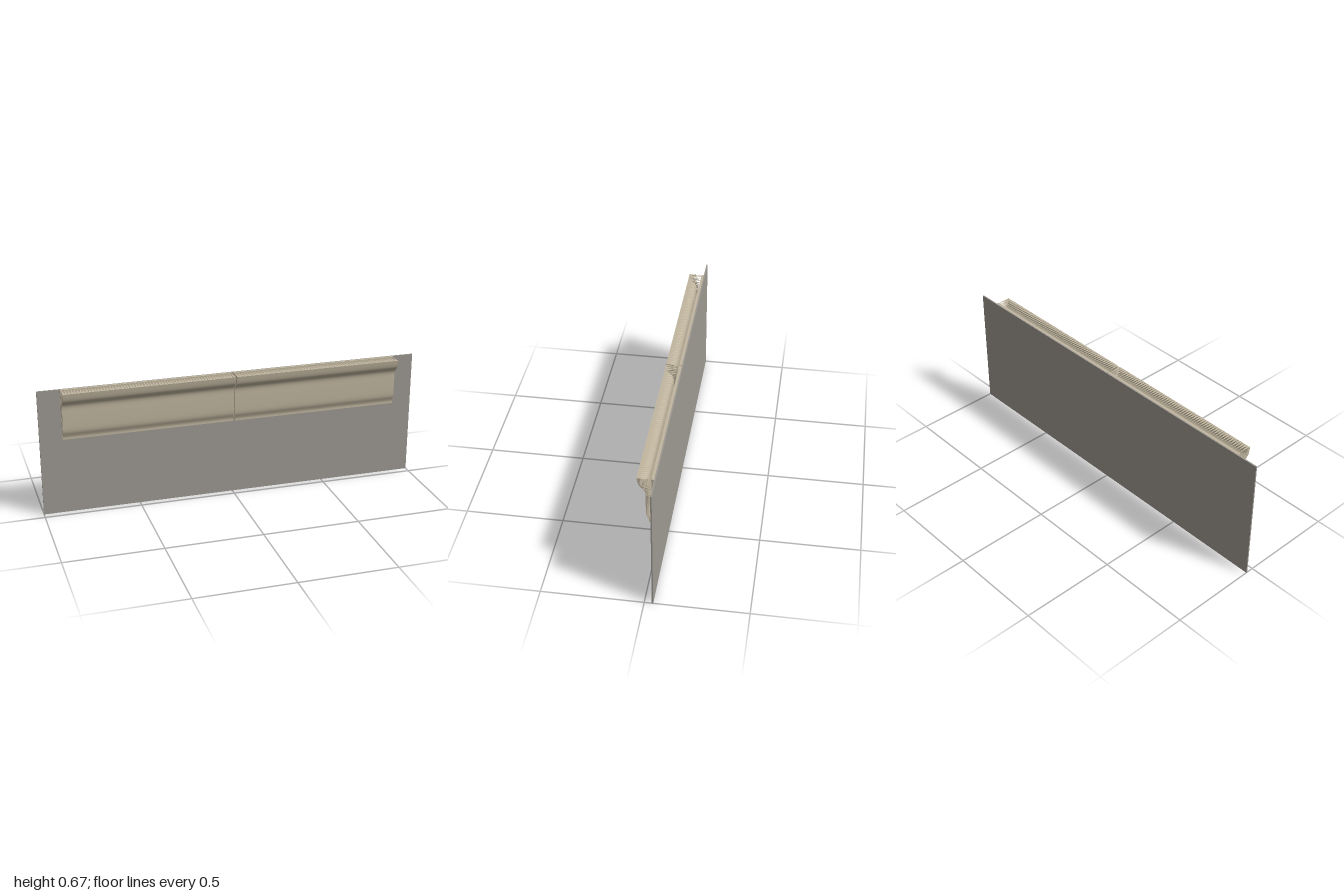
import * as THREE from 'three';

const TOP = 0.665, BOTTOM = 0.408, HALF = 0.885, GAP = 0.003, BACK = -0.021;

export function createModel() {
  const model = new THREE.Group();
  const wallGrey = new THREE.MeshStandardMaterial({ color: 0x9f9a93 });
  const stone = new THREE.MeshStandardMaterial({ color: 0xc2b7a0 });
  const stoneSheet = new THREE.MeshStandardMaterial({ color: 0xc2b7a0, side: THREE.DoubleSide });
  stone.name = 'stone';
  stoneSheet.name = 'stone sheet';
  wallGrey.name = 'wall grey';

  const add = (name, geometry, material, parent) => {
    const mesh = new THREE.Mesh(geometry, material);
    mesh.name = name;
    parent.add(mesh);
    return mesh;
  };

  // Thin wall panel behind the moulding
  add('wallPanel', new THREE.BoxGeometry(2, TOP, 0.007), wallGrey, model)
    .position.set(0, TOP / 2, -0.0395);

  // Moulding section as (z, y), from the bottom lip to the crown
  const profile = new THREE.SplineCurve([
    [-0.01, BOTTOM], [-0.01, 0.421], [-0.006, 0.433], [0, 0.447], [0.003, 0.465],
    [0.004, 0.5], [0.004, 0.54], [0.004, 0.576], [0.007, 0.592], [0.013, 0.603],
    [0.025, 0.613], [0.034, 0.623], [0.039, 0.637], [0.042, 0.652], [0.044, TOP],
  ].map(([z, y]) => new THREE.Vector2(z, y)));
  const rows = profile.getSpacedPoints(44);

  // Smooth front sheet swept along x
  const sheetGeometry = (x0, x1) => {
    const g = new THREE.PlaneGeometry(1, 1, 1, rows.length - 1);
    const p = g.attributes.position;
    for (let i = 0; i < p.count; i++) {
      const r = rows[rows.length - 1 - Math.floor(i / 2)];
      p.setXYZ(i, i % 2 ? x1 : x0, r.y, r.x);
    }
    g.computeVertexNormals();
    return g;
  };

  // Row of teeth tapering from a front edge to the back board
  const teethGeometry = (edge) => {
    const v = [];
    for (let i = 0; i < edge.length - 1; i++) {
      const a = edge[i], b = edge[i + 1];
      v.push(...a, ...b, (a[0] + b[0]) / 2, (a[1] + b[1]) / 2, BACK);
    }
    const g = new THREE.BufferGeometry();
    g.setAttribute('position', new THREE.Float32BufferAttribute(v, 3));
    g.computeVertexNormals();
    return g;
  };

  const across = (x0, x1, y, z) =>
    Array.from({ length: 61 }, (_, i) => [x0 + (x1 - x0) * i / 60, y, z]);
  const upright = (x) => rows.map((r) => [x, r.y, r.x]);

  // Two equal lengths of moulding meeting at a centre seam
  for (const [name, x0, x1] of [
    ['rightMoulding', -HALF, -GAP],
    ['leftMoulding', GAP, HALF],
  ]) {
    const half = new THREE.Group();
    half.name = name;
    model.add(half);

    add('backBoard', new THREE.BoxGeometry(x1 - x0, TOP - BOTTOM, 0.013), stone, half)
      .position.set((x0 + x1) / 2, (TOP + BOTTOM) / 2, -0.0295);
    add('frontSheet', sheetGeometry(x0, x1), stoneSheet, half);
    add('topTeeth', teethGeometry(across(x1, x0, TOP, 0.044)), stoneSheet, half);
    add('bottomTeeth', teethGeometry(across(x0, x1, BOTTOM, -0.01)), stoneSheet, half);
    add('rightEndTeeth', teethGeometry(upright(x0).reverse()), stoneSheet, half);
    add('leftEndTeeth', teethGeometry(upright(x1)), stoneSheet, half);
  }
  return model;
}
